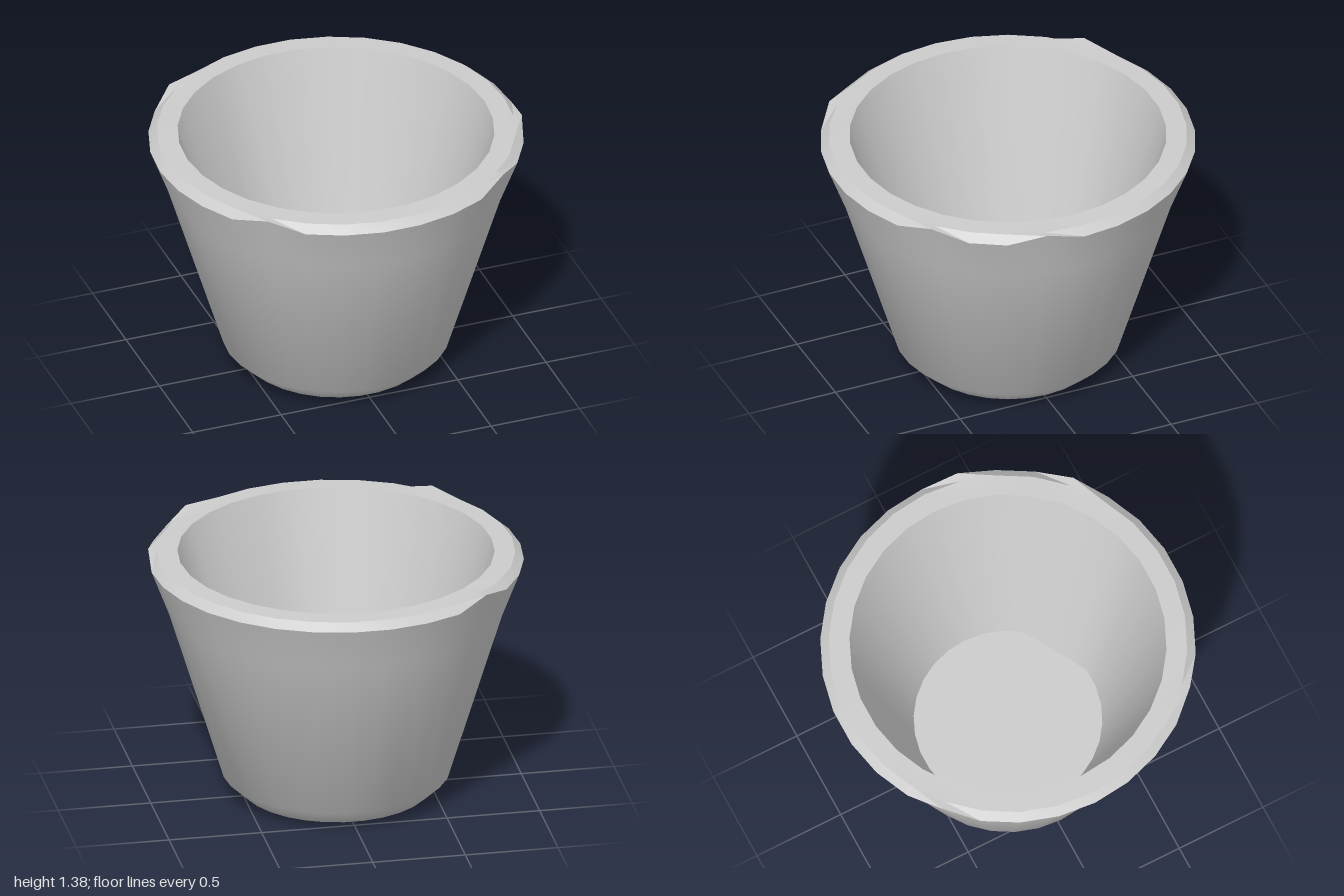
import * as THREE from 'three';
import { toCreasedNormals } from 'three/addons/utils/BufferGeometryUtils.js';

// Radius and height pairs: base, outer wall, rim, inner wall, inner floor
const FLOOR = 0.2;
const PROFILE = [
  [0, 0], [0.43, 0], [0.51, 0.025], [0.605, 0.115], [0.9, 1.08], [0.995, 1.33],
  [0.95, 1.37], [0.84, 1.373], [0.5, FLOOR], [0, FLOOR],
];
// Angles from +x towards +z, in degrees
const RIM_PEAKS = [12, 48, 132, 228];
const FLOOR_FLATS = [60, 228];

const gap = (a, b) => Math.abs(((a - b + 540) % 360) - 180);

export function createModel() {
  const group = new THREE.Group();
  group.name = 'cup';

  const points = PROFILE.map(([r, y]) => new THREE.Vector2(r, y));
  const geometry = new THREE.LatheGeometry(points, 30, Math.PI / 2);
  const pos = geometry.attributes.position;

  for (let i = 0; i < pos.count; i++) {
    const x = pos.getX(i), y = pos.getY(i), z = pos.getZ(i);
    const r = Math.hypot(x, z);
    const angle = (THREE.MathUtils.radToDeg(Math.atan2(z, x)) + 360) % 360;

    // Worn rim: a few outer corners rise to the top
    if (r > 0.98 && RIM_PEAKS.some((a) => gap(angle, a) < 2)) pos.setY(i, 1.376);

    // Straight stretches in the round edge of the inner floor
    if (Math.abs(y - FLOOR) < 0.001 && r > 0.4) {
      for (const a of FLOOR_FLATS) {
        const d = gap(angle, a);
        if (d > 23) continue;
        const k = Math.cos(THREE.MathUtils.degToRad(23)) / Math.cos(THREE.MathUtils.degToRad(d));
        pos.setX(i, x * k);
        pos.setZ(i, z * k);
      }
    }
  }

  const cup = new THREE.Mesh(
    toCreasedNormals(geometry, 0.7),
    new THREE.MeshStandardMaterial({ color: 0xcccccc }),
  );
  cup.name = 'cupBody';
  group.add(cup);
  return group;
}
